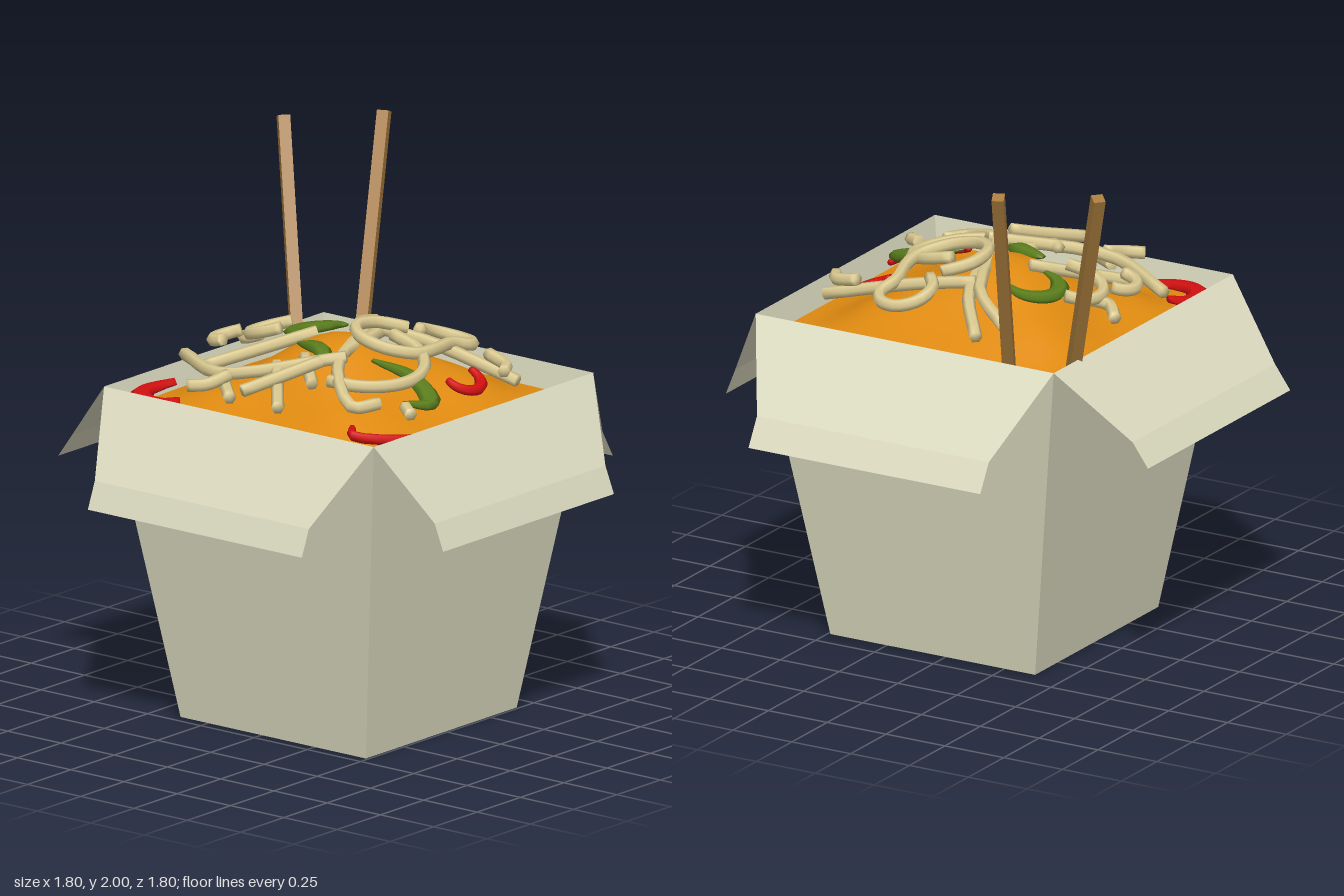
import * as THREE from 'three';

const CX = -0.022, CZ = 0.055; // carton centre
const TOP = 1.26, RIM = 0.633, BASE = 0.435, FOOD_Y = 1.16;

const mat = (name, color, side = THREE.FrontSide) => {
  const m = new THREE.MeshStandardMaterial({ color, side });
  m.name = name;
  return m;
};

// Rounded mound profile, 1 at the centre and 0 at the carton walls
const bump = (x, z) => {
  const f = (d) => Math.max(0, 1 - (d / 0.63) ** 2);
  return (f(x - 0.02) * f(z - 0.02)) ** 1.8;
};
const foodHeight = (x, z) => {
  const b = bump(x, z);
  return FOOD_Y + 0.24 * b + 0.025 * Math.min(1, b * 4) * Math.sin(9 * x + 2) * Math.cos(8 * z);
};
const strandHeight = (x, z) => 1.265 + 0.155 * bump(x, z);

// Flat panels from lists of corner points, each a convex quad
function panels(quads) {
  const pos = [];
  for (const [a, b, c, d] of quads) pos.push(...a, ...b, ...c, ...a, ...c, ...d);
  const g = new THREE.BufferGeometry();
  g.setAttribute('position', new THREE.Float32BufferAttribute(pos, 3));
  g.computeVertexNormals();
  return g;
}

// Sweep an oval section along a path lying over the food, closed at both ends
function strand(path, w, h, heightAt, lift = 0, taper = 0) {
  const curve = new THREE.CatmullRomCurve3(
    path.map(([x, z]) => new THREE.Vector3(x, heightAt(x, z) + lift, z)));
  const n = path.length * 3, sides = 6, pos = [], idx = [];
  const up = new THREE.Vector3(0, 1, 0);
  for (let i = -1; i <= n + 1; i++) {
    const t = Math.min(1, Math.max(0, i / n));
    const p = curve.getPoint(t), tan = curve.getTangent(t);
    const side = tan.clone().cross(up).normalize(), top = side.clone().cross(tan);
    const s = i < 0 || i > n ? 0 : 1 - taper * Math.abs(2 * t - 1) ** 2;
    for (let j = 0; j < sides; j++) {
      const a = (j / sides) * Math.PI * 2;
      const v = p.clone().addScaledVector(side, Math.cos(a) * w * s)
        .addScaledVector(top, Math.sin(a) * h * s);
      pos.push(v.x, v.y, v.z);
    }
  }
  for (let i = 0; i < n + 2; i++) {
    for (let j = 0; j < sides; j++) {
      const a = i * sides + j, b = i * sides + (j + 1) % sides;
      idx.push(a, a + sides, b, b, a + sides, b + sides);
    }
  }
  const g = new THREE.BufferGeometry();
  g.setAttribute('position', new THREE.Float32BufferAttribute(pos, 3));
  g.setIndex(idx);
  g.computeVertexNormals();
  return g;
}

// Curl in the x/z plane around a centre
const arc = (x, z, r, from, to, n = 7) => Array.from({ length: n }, (_, i) => {
  const a = from + (to - from) * i / (n - 1);
  return [x + Math.cos(a) * r, z + Math.sin(a) * r];
});

export function createModel() {
  const model = new THREE.Group();
  model.name = 'noodleBox';
  const card = mat('cream card', 0xdcdbc0, THREE.DoubleSide);
  const sauce = mat('orange sauce', 0xdf8a10);
  const cream = mat('pale noodle', 0xdccb92);
  const green = mat('green pepper', 0x5a7d1c);
  const red = mat('red pepper', 0xd41010);
  const wood = mat('brown wood', 0xa87b3c);
  const add = (name, geometry, material, parent = model) => {
    const m = new THREE.Mesh(geometry, material);
    m.name = name;
    parent.add(m);
    return m;
  };

  // Carton: tapered walls and floor
  const ring = (half, y) => [[1, 1], [1, -1], [-1, -1], [-1, 1]]
    .map(([sx, sz]) => [CX + sx * half, y, CZ + sz * half]);
  const lo = ring(BASE, 0), hi = ring(RIM, TOP);
  const walls = lo.map((p, i) => [p, lo[(i + 1) % 4], hi[(i + 1) % 4], hi[i]]);
  add('carton', panels([...walls, [lo[3], lo[2], lo[1], lo[0]]]), card);

  // Folded flaps: hinge, crease and lip rows, from hinge distance and centre
  const flap = (name, hinge, centre, crease, lip, from, to, place) => {
    const row = ([d, y], a, b) => [place(a, y, d), place(b, y, d)];
    const r = [row([hinge, TOP], centre - RIM, centre + RIM), row(crease, from, to), row(lip, from, to)];
    add(name, panels([0, 1].map((i) => [r[i][0], r[i + 1][0], r[i + 1][1], r[i][1]])), card);
  };
  flap('frontFlap', RIM + CZ, CX, [0.86, 0.97], [0.9, 0.87], -0.515, 0.47, (a, y, d) => [a, y, d]);
  flap('backFlap', RIM - CZ, CX, [0.835, 1.0], [0.9, 0.91], -0.525, 0.48, (a, y, d) => [a, y, -d]);
  flap('leftFlap', RIM + CX, CZ, [0.84, 0.96], [0.9, 0.855], -0.44, 0.545, (a, y, d) => [d, y, a]);
  flap('rightFlap', RIM - CX, CZ, [0.86, 0.97], [0.9, 0.87], -0.455, 0.55, (a, y, d) => [-d, y, a]);

  // Food mound
  const mound = new THREE.PlaneGeometry(1.234, 1.234, 20, 20).rotateX(-Math.PI / 2).translate(CX, 0, CZ);
  const p = mound.attributes.position;
  for (let i = 0; i < p.count; i++) p.setY(i, foodHeight(p.getX(i), p.getZ(i)));
  mound.computeVertexNormals();
  add('foodMound', mound, sauce);

  // Noodles
  const noodles = new THREE.Group();
  noodles.name = 'noodles';
  model.add(noodles);
  const noodle = (lift, ...path) =>
    add('noodle', strand(path, 0.024, 0.024, strandHeight, lift), cream, noodles);
  // long strands
  noodle(0.03, [-0.25, -0.53], [-0.43, -0.19], [-0.19, 0.18]);
  noodle(0.02, [-0.33, 0.45], [-0.42, 0.4], [-0.24, 0.18], [0.3, -0.08], [0.43, -0.26]);
  noodle(0, [-0.12, 0.12], [0.3, -0.03], [0.5, -0.18]);
  noodle(0, [0.22, -0.01], [0.27, 0.2], [0.32, 0.57]);
  noodle(0, [-0.31, -0.38], [0, -0.11]);
  // curls
  noodle(0.06, ...arc(-0.12, -0.4, 0.08, 3, 5.9));
  noodle(0.04, ...arc(0.03, -0.3, 0.12, 2.5, 5.9));
  noodle(0.02, ...arc(-0.11, 0.2, 0.22, 3.1, -0.2));
  noodle(0.03, ...arc(0.1, 0.18, 0.15, -0.4, -5.1), ...arc(0.36, 0.2, 0.1, 2.2, -2.6));
  // short pieces
  noodle(0.02, [0.08, -0.52], [0.01, -0.45], [0.04, -0.4]);
  noodle(0.04, [-0.58, -0.25], [-0.54, -0.19], [-0.45, -0.16]);
  noodle(0, [-0.43, -0.2], [-0.53, -0.09]);
  noodle(0.06, [-0.57, 0], [-0.42, 0.08], [-0.3, 0.15]);
  noodle(0.02, [-0.56, 0.16], [-0.32, -0.04]);
  noodle(0, [-0.35, 0.15], [-0.22, 0.01]);
  noodle(0.05, [0.32, 0.43], [0.3, 0.53], [0.24, 0.57]);
  noodle(0.02, [-0.28, 0.53], [-0.32, 0.59]);

  // Green pepper strips
  const greenStrip = (...path) =>
    add('greenPepperStrip', strand(path, 0.04, 0.022, strandHeight, 0, 0.7), green);
  greenStrip(...arc(0.1, -0.18, 0.1, 3.1, 6.9));
  greenStrip([-0.13, -0.09], [-0.15, 0.02], [-0.21, 0.1]);
  greenStrip([-0.1, 0.23], [-0.06, 0.38], [-0.15, 0.54], [-0.23, 0.48]);

  // Red pepper slices
  const redSlice = (width, ...path) =>
    add('redPepperSlice', strand(path, width, 0.02, foodHeight, 0.05, 0.4), red);
  redSlice(0.045, ...arc(-0.46, -0.42, 0.11, -0.55, -4.1));
  redSlice(0.02, [-0.45, 0.42], [-0.49, 0.46], [-0.36, 0.62], [-0.24, 0.63]);
  redSlice(0.025, ...arc(0.17, 0.43, 0.07, -0.2, 3.3));

  // Chopsticks: square rods between two points
  const chopstick = (from, to) => {
    const rod = add('chopstick', new THREE.BoxGeometry(0.044, 0.044, from.distanceTo(to)), wood);
    rod.position.copy(from).lerp(to, 0.5);
    rod.lookAt(to);
  };
  chopstick(new THREE.Vector3(0.385, 1.1, -0.51), new THREE.Vector3(0.615, 1.97, -0.77));
  chopstick(new THREE.Vector3(0.51, 1.1, -0.335), new THREE.Vector3(0.84, 1.99, -0.48));

  return model;
}
